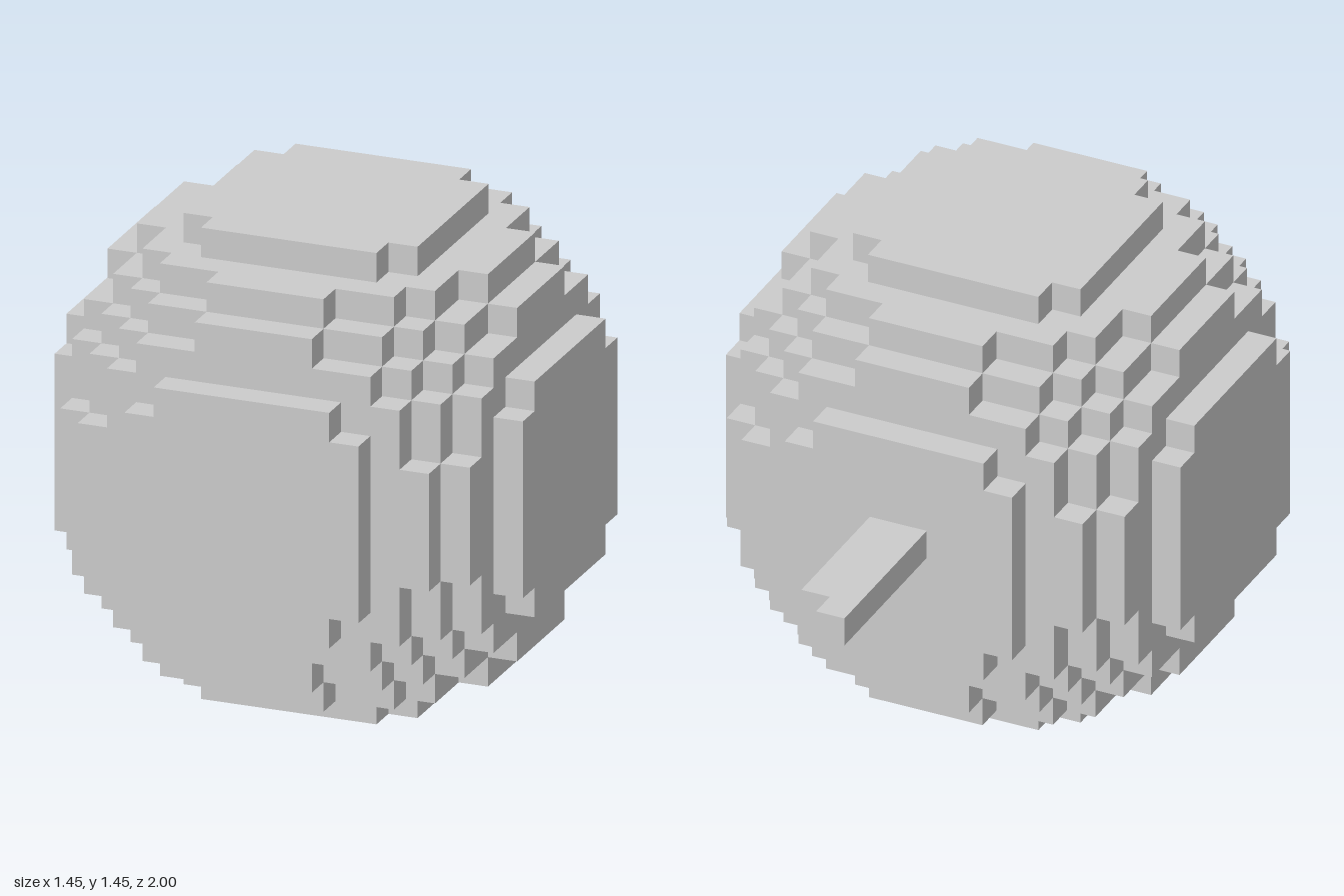
import * as THREE from 'three';
import { mergeGeometries } from 'three/addons/utils/BufferGeometryUtils.js';

const U = 1 / 11;          // edge of one block
const HALF = 8;            // half the ball's width, in blocks
const R2 = 75;             // squared ball radius, in blocks
const CENTER = new THREE.Vector3(0, 8 * U, 3 * U);

// The ball is cut flat at eight blocks from its middle on every axis
const inside = (x, y, z) =>
  Math.max(Math.abs(x), Math.abs(y), Math.abs(z)) < HALF && x * x + y * y + z * z <= R2;

// One square per exposed block side
function blockBall() {
  const sides = [[1, 0, 0], [-1, 0, 0], [0, 1, 0], [0, -1, 0], [0, 0, 1], [0, 0, -1]].map((d) => {
    const dir = new THREE.Vector3(...d);
    const face = new THREE.PlaneGeometry(1, 1);
    face.applyQuaternion(new THREE.Quaternion().setFromUnitVectors(new THREE.Vector3(0, 0, 1), dir));
    face.translate(dir.x / 2, dir.y / 2, dir.z / 2);
    return { dir, face };
  });
  const faces = [];
  for (let x = 0.5 - HALF; x < HALF; x++) {
    for (let y = 0.5 - HALF; y < HALF; y++) {
      for (let z = 0.5 - HALF; z < HALF; z++) {
        if (!inside(x, y, z)) continue;
        for (const { dir, face } of sides) {
          if (!inside(x + dir.x, y + dir.y, z + dir.z)) faces.push(face.clone().translate(x, y, z));
        }
      }
    }
  }
  return mergeGeometries(faces).scale(U, U, U);
}

// Flat stick, two blocks wide, with one corner block missing at the tip
function stickGeometry() {
  const outline = [[-1, -5], [-1, -11], [0, -11], [0, -10], [1, -10], [1, -5]];
  const shape = new THREE.Shape(outline.map(([x, z]) => new THREE.Vector2(x * U, z * U)));
  const geo = new THREE.ExtrudeGeometry(shape, { depth: U, bevelEnabled: false });
  return geo.rotateX(Math.PI / 2).translate(0, 9 * U, 0);
}

export function createModel() {
  const group = new THREE.Group();
  const material = new THREE.MeshStandardMaterial({ color: 0xcccccc, flatShading: true });

  const ball = new THREE.Mesh(blockBall(), material);
  ball.name = 'ball';
  ball.position.copy(CENTER);

  const stick = new THREE.Mesh(stickGeometry(), material);
  stick.name = 'stick';

  group.add(ball, stick);
  return group;
}
